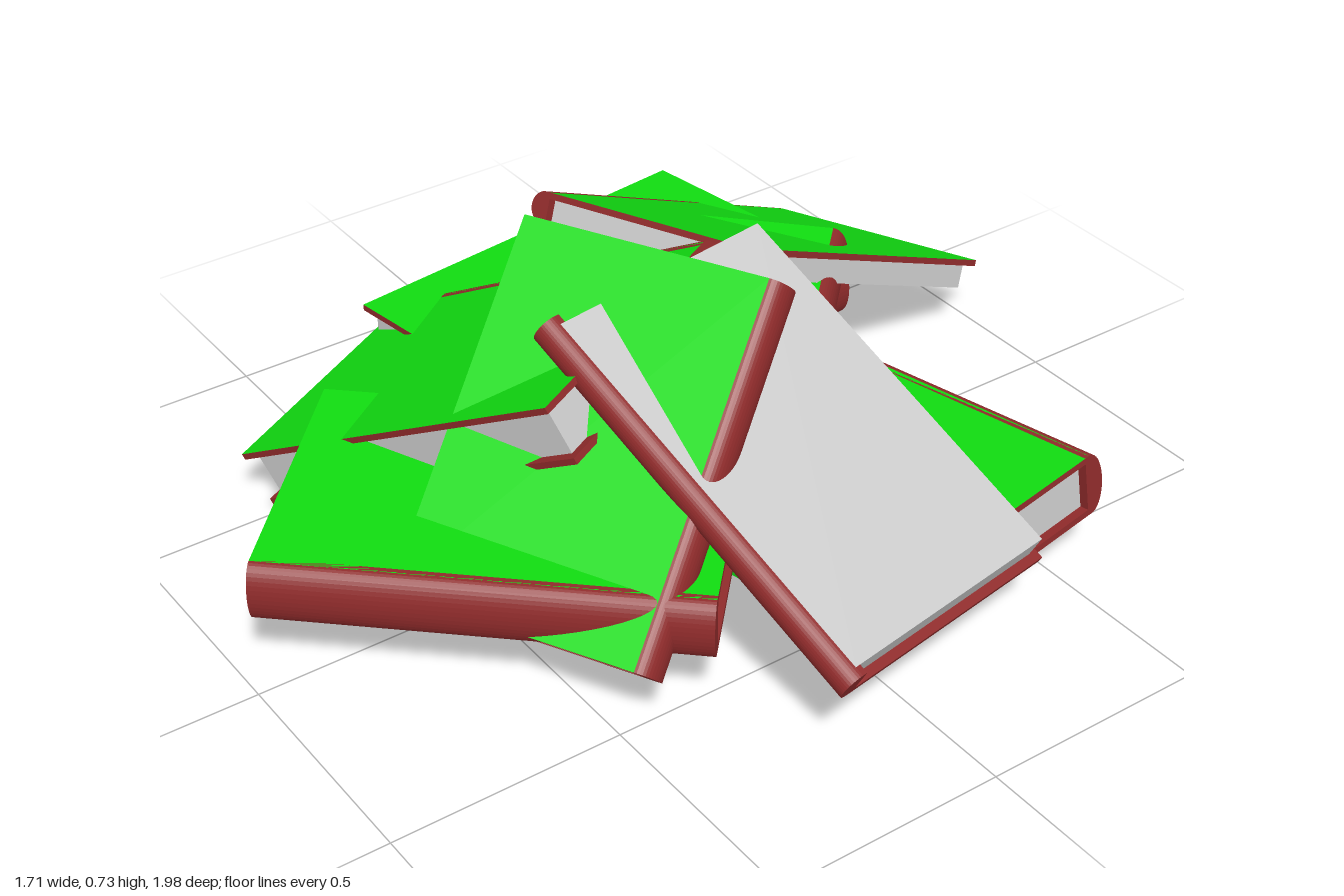
import * as THREE from 'three';

const paint = (color) => new THREE.MeshStandardMaterial({ color });
const red = paint(0x8f2b2b), green = paint(0x11dd11), grey = paint(0xcccccc);
const COVER = 0.014, BULGE = 0.035;

const V = (a) => new THREE.Vector3(...a);

function addBox(group, name, size, pos, material) {
  const mesh = new THREE.Mesh(new THREE.BoxGeometry(...size), material);
  mesh.name = name;
  mesh.position.set(...pos);
  group.add(mesh);
}

// Book lying flat: spine at -X, fore edge at +X, front cover at +Y, length along Z
function makeBook({ name, w = 0.62, l = 0.89, t = 0.13, thin, foreFlap }) {
  const book = new THREE.Group();
  book.name = name;
  const hinge = -w / 2 + BULGE;
  const plateW = w - BULGE;
  const plateX = BULGE / 2;

  // covers: green outside, red on the edges and inside
  const covers = thin ? [1] : [1, -1];
  for (const s of covers) {
    const mats = [red, red, s > 0 ? green : red, s > 0 ? red : green, red, red];
    addBox(book, s > 0 ? 'frontCover' : 'backCover', [plateW, COVER, l],
      [plateX, s * (t - COVER) / 2, 0], mats);
  }

  // page block, set in from the cover edges
  const low = -t / 2 + (thin ? 0 : COVER), high = t / 2 - COVER;
  addBox(book, 'pages', [plateW - 0.02, high - low, l - 0.04],
    [plateX - 0.01, (low + high) / 2, 0], grey);

  // rounded spine
  const arc = new THREE.Shape();
  arc.moveTo(0.012, t / 2);
  arc.lineTo(0, t / 2);
  arc.absellipse(0, 0, BULGE, t / 2, Math.PI / 2, Math.PI * 1.5, false);
  arc.lineTo(0.012, -t / 2);
  const spineGeo = new THREE.ExtrudeGeometry(arc, { depth: l, bevelEnabled: false, curveSegments: 10 });
  spineGeo.translate(hinge, 0, -l / 2);
  const spine = new THREE.Mesh(spineGeo, red);
  spine.name = 'spine';
  book.add(spine);

  // green flap closing part of the fore edge
  if (foreFlap) {
    addBox(book, 'foreFlap', [0.006, t, l * foreFlap],
      [w / 2, 0, -l * (1 - foreFlap) / 2], green);
  }
  return book;
}

// Place a book by its centre, its spine-to-fore direction and its long direction.
// top: the centre given lies on the upper face; flip: front cover faces down.
function placeBook(spec) {
  const { at, fore, long, t = 0.13, top, flip } = spec;
  const z = V(long).normalize();
  const x = V(fore);
  x.addScaledVector(z, -x.dot(z)).normalize();
  const y = new THREE.Vector3().crossVectors(z, x);
  if (y.y < 0) y.negate();
  const centre = V(at).addScaledVector(y, top ? -t / 2 : 0);
  if (flip) y.negate();
  z.crossVectors(x, y);
  const book = makeBook(spec);
  book.quaternion.setFromRotationMatrix(new THREE.Matrix4().makeBasis(x, y, z));
  book.position.copy(centre);
  return book;
}

export function createModel() {
  const pile = new THREE.Group();
  pile.name = 'bookPile';
  const books = [
    { name: 'thinBookBack', at: [-0.415, 0.335, -0.52], fore: [0.57, 0.06, -0.18],
      long: [0.16, 0.38, 0.78], w: 0.6, l: 0.88, t: 0.07, thin: true, top: true },
    { name: 'thinBookRight', at: [0.395, 0.435, 0], fore: [-0.14, 0, -0.6],
      long: [0.8, -0.42, -0.14], w: 0.61, l: 0.9, t: 0.07, thin: true, top: true, flip: true },
    { name: 'bookLeft', at: [-0.505, 0.265, -0.165], fore: [-0.6, -0.02, 0.07],
      long: [0.11, 0, 0.88], t: 0.14, top: true },
    { name: 'bookFrontLeft', at: [-0.31, 0.38, 0.305], fore: [0.24, -0.07, 0.57],
      long: [0.76, 0.43, -0.28], l: 0.91, top: true },
    { name: 'bookLeaning', at: [0.19, 0.455, 0.36], fore: [-0.47, -0.01, 0.24],
      long: [0.25, -0.54, 0.485], w: 0.57, l: 0.78, t: 0.1, top: true },
    { name: 'bookBackRight', at: [0.22, 0.145, -0.235], fore: [0.09, -0.05, 0.63],
      long: [0.89, 0.09, -0.11], w: 0.63, t: 0.14, foreFlap: 0.6 },
    { name: 'bookFront', at: [0.055, 0.22, 0.455], fore: [-0.44, 0, -0.42],
      long: [0.61, 0, -0.65] },
    { name: 'bookMiddle', at: [-0.145, 0.375, -0.095], fore: [-0.43, 0.01, 0.43],
      long: [0.62, 0, 0.62], t: 0.12, top: true },
  ];
  for (const spec of books) pile.add(placeBook(spec));
  return pile;
}
